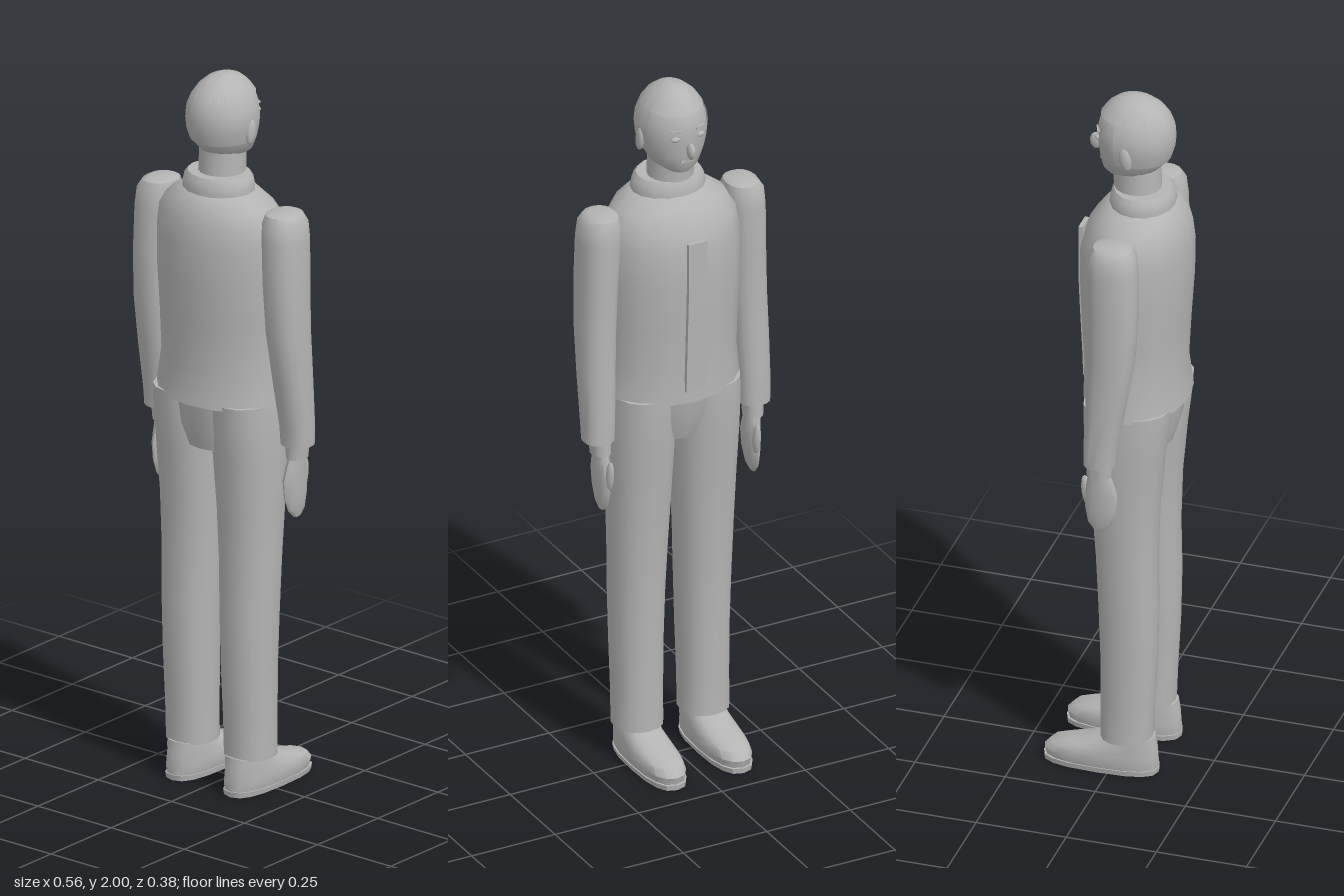
import * as THREE from 'three';
import { toCreasedNormals } from 'three/addons/utils/BufferGeometryUtils.js';

const grey = new THREE.MeshStandardMaterial({ color: 0xb4b4b4, side: THREE.DoubleSide });
grey.name = 'plain grey';

// Skin through oval rings, bottom to top: [y, centreX, centreZ, radiusX, radiusZ].
// power < 1 squares the ovals; an arc below a full turn leaves an open shell.
function loft(rows, { seg = 16, power = 1, start = 0, arc = Math.PI * 2, crease = 0.7 } = {}) {
  const closed = arc > 6.28;
  const n = closed ? seg : seg + 1;
  const pos = [], index = [];
  const bend = v => Math.sign(v) * Math.pow(Math.abs(v), power);
  for (const [y, cx, cz, rx, rz] of rows) {
    for (let i = 0; i < n; i++) {
      const a = start + (i / seg) * arc;
      pos.push(cx + rx * bend(Math.cos(a)), y, cz + rz * bend(Math.sin(a)));
    }
  }
  for (let r = 0; r < rows.length - 1; r++) {
    for (let i = 0; i < seg; i++) {
      const j = (i + 1) % n;
      const a = r * n + i, b = r * n + j, d = a + n, c = b + n;
      index.push(a, d, b, d, c, b);
    }
  }
  if (closed) {
    const last = rows.length - 1, bottom = pos.length / 3, top = bottom + 1;
    for (const [y, cx, cz] of [rows[0], rows[last]]) pos.push(cx, y, cz);
    for (let i = 0; i < seg; i++) {
      const j = (i + 1) % seg;
      index.push(bottom, i, j, top, last * n + j, last * n + i);
    }
  }
  const g = new THREE.BufferGeometry();
  g.setAttribute('position', new THREE.Float32BufferAttribute(pos, 3));
  g.setIndex(index);
  return toCreasedNormals(g, crease);
}

export function createModel() {
  const model = new THREE.Group();
  model.name = 'standingMan';

  const add = (name, geometry) => {
    const mesh = new THREE.Mesh(geometry, grey);
    mesh.name = name;
    model.add(mesh);
    return mesh;
  };
  const blob = (name, x, y, z, rx, ry, rz) => {
    const mesh = add(name, new THREE.SphereGeometry(1, 12, 8));
    mesh.position.set(x, y, z);
    mesh.scale.set(rx, ry, rz);
    return mesh;
  };

  // Jacket, collar and hips
  add('jacket', loft([
    [1.10, 0, 0.040, 0.195, 0.140], [1.20, 0, 0.035, 0.183, 0.133],
    [1.32, 0, 0.035, 0.187, 0.140], [1.45, 0, 0.037, 0.193, 0.147],
    [1.55, 0, 0.038, 0.192, 0.148], [1.61, 0, 0.042, 0.183, 0.137],
    [1.65, 0, 0.047, 0.158, 0.118], [1.68, 0, 0.050, 0.115, 0.095],
    [1.69, 0, 0.050, 0.090, 0.080]
  ]));
  add('collar', loft([
    [1.66, 0, 0.053, 0.100, 0.088], [1.69, 0, 0.053, 0.104, 0.088],
    [1.715, 0, 0.053, 0.098, 0.084], [1.728, 0, 0.052, 0.088, 0.076]
  ]));
  add('hips', loft([
    [0.965, 0, 0.045, 0.075, 0.090], [1.03, 0, 0.043, 0.100, 0.112],
    [1.11, 0, 0.042, 0.115, 0.122]
  ], { power: 0.8 }));

  // Raised strip down the front of the jacket, following the chest
  const strip = new THREE.BoxGeometry(0.056, 0.45, 0.012, 1, 6, 1);
  const sp = strip.attributes.position;
  for (let i = 0; i < sp.count; i++) {
    const y = sp.getY(i) + 1.36;
    sp.setXYZ(i, sp.getX(i), y, sp.getZ(i) - 0.099 - 0.013 * Math.min(1, Math.max(0, (y - 1.16) / 0.26)));
  }
  strip.computeVertexNormals();
  add('jacketStrip', strip);

  // Neck and egg-shaped head
  add('neck', loft([
    [1.70, 0, 0.040, 0.064, 0.064], [1.80, 0, 0.035, 0.062, 0.064]
  ]));
  const skull = [
    [1.765, 0, 0.000, 0.035, 0.045], [1.785, 0, 0.018, 0.064, 0.075],
    [1.82, 0, 0.031, 0.083, 0.094], [1.85, 0, 0.034, 0.091, 0.101],
    [1.88, 0, 0.034, 0.094, 0.104], [1.91, 0, 0.034, 0.090, 0.102],
    [1.94, 0, 0.033, 0.078, 0.092], [1.965, 0, 0.032, 0.061, 0.074],
    [1.985, 0, 0.031, 0.038, 0.048], [1.995, 0, 0.031, 0.015, 0.022],
    [1.997, 0, 0.031, 0.003, 0.004]
  ];
  add('head', loft(skull, { seg: 20 }));
  // Close-cropped hair around the back and over the crown
  const hairRows = skull.slice(2).map(([y, x, z, rx, rz]) => [y + 0.002, x, z, rx + 0.003, rz + 0.003]);
  add('backHair', loft(hairRows, { start: -0.35, arc: Math.PI + 0.7 }));
  add('crownHair', loft(hairRows.slice(4), { seg: 20 }));

  // Face
  blob('nose', 0, 1.842, -0.078, 0.011, 0.024, 0.017);
  add('mouth', new THREE.BoxGeometry(0.04, 0.007, 0.008)).position.set(0, 1.805, -0.056);

  for (const s of [-1, 1]) {
    const side = s > 0 ? 'left' : 'right';

    blob(side + 'Ear', s * 0.094, 1.852, 0.033, 0.010, 0.035, 0.017).rotation.x = -0.15;
    blob(side + 'Eye', s * 0.036, 1.878, -0.060, 0.014, 0.008, 0.008);
    const brow = add(side + 'Brow', new THREE.BoxGeometry(0.03, 0.006, 0.008));
    brow.position.set(s * 0.036, 1.9, -0.060);
    brow.rotation.y = s * -0.35;

    // Sleeve, cuff, hand and thumb
    add(side + 'Sleeve', loft([
      [0.998, s * 0.233, 0.008, 0.043, 0.043], [1.05, s * 0.233, 0.010, 0.045, 0.045],
      [1.18, s * 0.230, 0.024, 0.049, 0.054], [1.32, s * 0.226, 0.038, 0.052, 0.063],
      [1.45, s * 0.222, 0.041, 0.054, 0.067], [1.58, s * 0.217, 0.038, 0.056, 0.068],
      [1.63, s * 0.214, 0.037, 0.054, 0.064], [1.652, s * 0.210, 0.036, 0.044, 0.053],
      [1.658, s * 0.208, 0.036, 0.030, 0.036]
    ], { power: 0.85 }));
    add(side + 'Cuff', loft([
      [0.958, s * 0.228, 0.004, 0.027, 0.034], [1.01, s * 0.230, 0.006, 0.029, 0.035]
    ]));
    add(side + 'Hand', loft([
      [0.79, s * 0.226, 0.002, 0.005, 0.014], [0.81, s * 0.225, 0.004, 0.012, 0.032],
      [0.85, s * 0.224, 0.007, 0.017, 0.043], [0.90, s * 0.224, 0.008, 0.020, 0.046],
      [0.94, s * 0.226, 0.006, 0.020, 0.036], [0.97, s * 0.228, 0.005, 0.019, 0.027]
    ], { seg: 12 }));
    blob(side + 'Thumb', s * 0.220, 0.900, -0.034, 0.011, 0.046, 0.014).rotation.x = -0.12;

    // Trouser leg
    add(side + 'Leg', loft([
      [0.100, s * 0.099, 0.040, 0.068, 0.070], [0.20, s * 0.099, 0.042, 0.068, 0.072],
      [0.35, s * 0.099, 0.046, 0.071, 0.076], [0.50, s * 0.099, 0.045, 0.075, 0.080],
      [0.65, s * 0.098, 0.040, 0.080, 0.082], [0.80, s * 0.097, 0.037, 0.086, 0.090],
      [0.95, s * 0.097, 0.037, 0.093, 0.104], [1.06, s * 0.098, 0.039, 0.093, 0.116],
      [1.11, s * 0.098, 0.040, 0.090, 0.118]
    ], { power: 0.9 }));

    // Shoe and sole
    add(side + 'Sole', loft([
      [0, s * 0.099, -0.030, 0.055, 0.158], [0.015, s * 0.099, -0.030, 0.058, 0.160]
    ], { power: 0.75 }));
    add(side + 'Shoe', loft([
      [0.015, s * 0.099, -0.028, 0.055, 0.155], [0.035, s * 0.099, -0.030, 0.060, 0.158],
      [0.055, s * 0.099, -0.022, 0.058, 0.148], [0.068, s * 0.099, 0.002, 0.056, 0.122],
      [0.085, s * 0.099, 0.030, 0.053, 0.090], [0.105, s * 0.099, 0.048, 0.050, 0.068]
    ], { power: 0.8 }));
  }

  return model;
}
